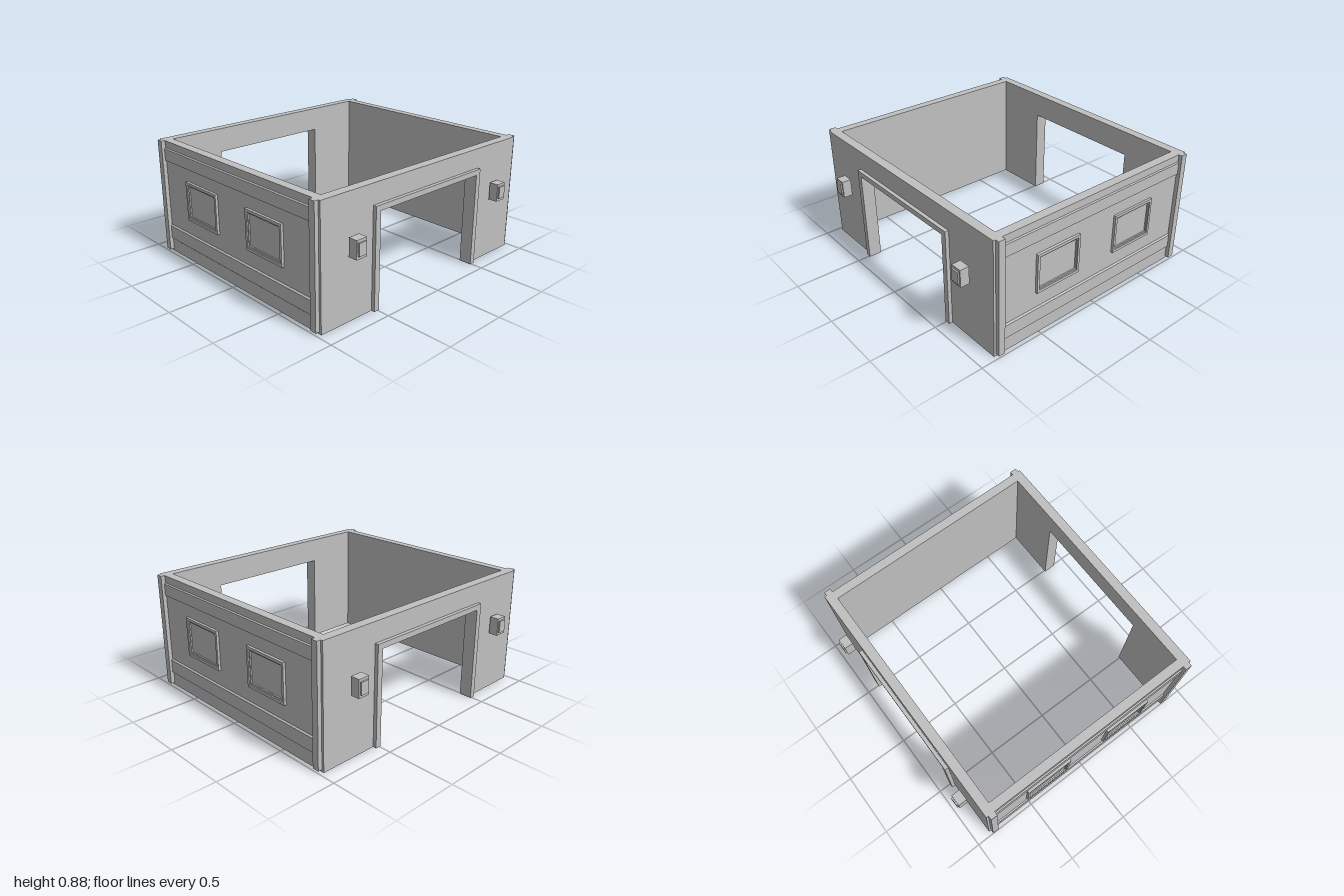
import * as THREE from 'three';

const plaster = new THREE.MeshStandardMaterial({ color: 0xc0c0c0 });
plaster.name = 'light grey';

function add(parent, name, geometry) {
  const mesh = new THREE.Mesh(geometry, plaster);
  mesh.name = name;
  parent.add(mesh);
  return mesh;
}

// Box given by its two extreme corners
function box(parent, name, x0, x1, y0, y1, z0, z1) {
  const mesh = add(parent, name, new THREE.BoxGeometry(x1 - x0, y1 - y0, z1 - z0));
  mesh.position.set((x0 + x1) / 2, (y0 + y1) / 2, (z0 + z1) / 2);
  return mesh;
}

function polygon(points) {
  return new THREE.Shape(points.map(([x, y]) => new THREE.Vector2(x, y)));
}

function extrude(shape, depth) {
  return new THREE.ExtrudeGeometry(shape, { depth, bevelEnabled: false });
}

// Wall with a doorway, its raised surround, and two lamps; faces +z
function makeEndWall() {
  const wall = new THREE.Group();
  const H = 0.88, W = 0.97, door = 0.49, doorTop = 0.695;
  add(wall, 'doorWall', extrude(polygon([
    [-W, 0], [-door, 0], [-door, doorTop], [door, doorTop],
    [door, 0], [W, 0], [W, H], [-W, H],
  ]), 0.07)).position.z = 0.81;

  add(wall, 'doorSurround', extrude(polygon([
    [-0.532, 0], [-door, 0], [-door, doorTop], [door, doorTop],
    [door, 0], [0.532, 0], [0.532, 0.734], [-0.532, 0.734],
  ]), 0.027)).position.z = 0.88;

  for (const s of [-1, 1]) {
    const x = s * 0.717;
    box(wall, 'lampBody', x - 0.043, x + 0.043, 0.465, 0.595, 0.9, 0.968);
    box(wall, 'lampFace', x - 0.032, x + 0.032, 0.487, 0.576, 0.968, 0.979);
    // Corner post
    box(wall, 'cornerPost', Math.min(s * W, s), Math.max(s * W, s), 0.016, H, 0.813, 0.863);
  }
  return wall;
}

// Rectangular ring in the wall plane, extruded outwards
function ring(w, h, holeW, holeH, depth) {
  const rect = (a, b) => [[-a, -b], [a, -b], [a, b], [-a, b]];
  const shape = polygon(rect(w / 2, h / 2));
  shape.holes.push(polygon(rect(holeW / 2, holeH / 2).reverse()));
  return extrude(shape, depth);
}

// Side wall with bevelled bands and two framed windows; faces +z before turning
function makeSideWall() {
  const wall = new THREE.Group();
  const face = 0.97;
  box(wall, 'sideWall', -0.81, 0.81, 0, 0.88, 0.903, face);

  for (const [y0, y1, bevel] of [[0.726, 0.825, 0.005], [0.1, 0.22, 0.01]]) {
    const band = extrude(polygon([
      [0, y0], [0.011, y0 + bevel], [0.011, y1 - bevel], [0, y1],
    ]), 1.62);
    band.translate(0, 0, -0.81);
    band.rotateY(-Math.PI / 2); // profile depth now runs along +z
    add(wall, 'wallBand', band).position.z = face;
  }

  for (const x of [-0.352, 0.352]) {
    const frame = new THREE.Group();
    frame.name = 'window';
    frame.position.set(x, 0.487, face);
    add(frame, 'windowFrame', ring(0.372, 0.296, 0.334, 0.254, 0.019));
    add(frame, 'windowInnerFrame', ring(0.334, 0.254, 0.32, 0.232, 0.01));
    wall.add(frame);
  }
  return wall;
}

export function createModel() {
  const model = new THREE.Group();
  model.name = 'openBuilding';
  for (const [i, end] of ['front', 'back'].entries()) {
    const wall = makeEndWall();
    wall.name = end + 'Wall';
    wall.rotation.y = i * Math.PI;
    model.add(wall);
  }
  for (const [i, side] of ['left', 'right'].entries()) {
    const wall = makeSideWall();
    wall.name = side + 'Wall';
    wall.rotation.y = Math.PI / 2 + i * Math.PI;
    model.add(wall);
  }
  return model;
}
